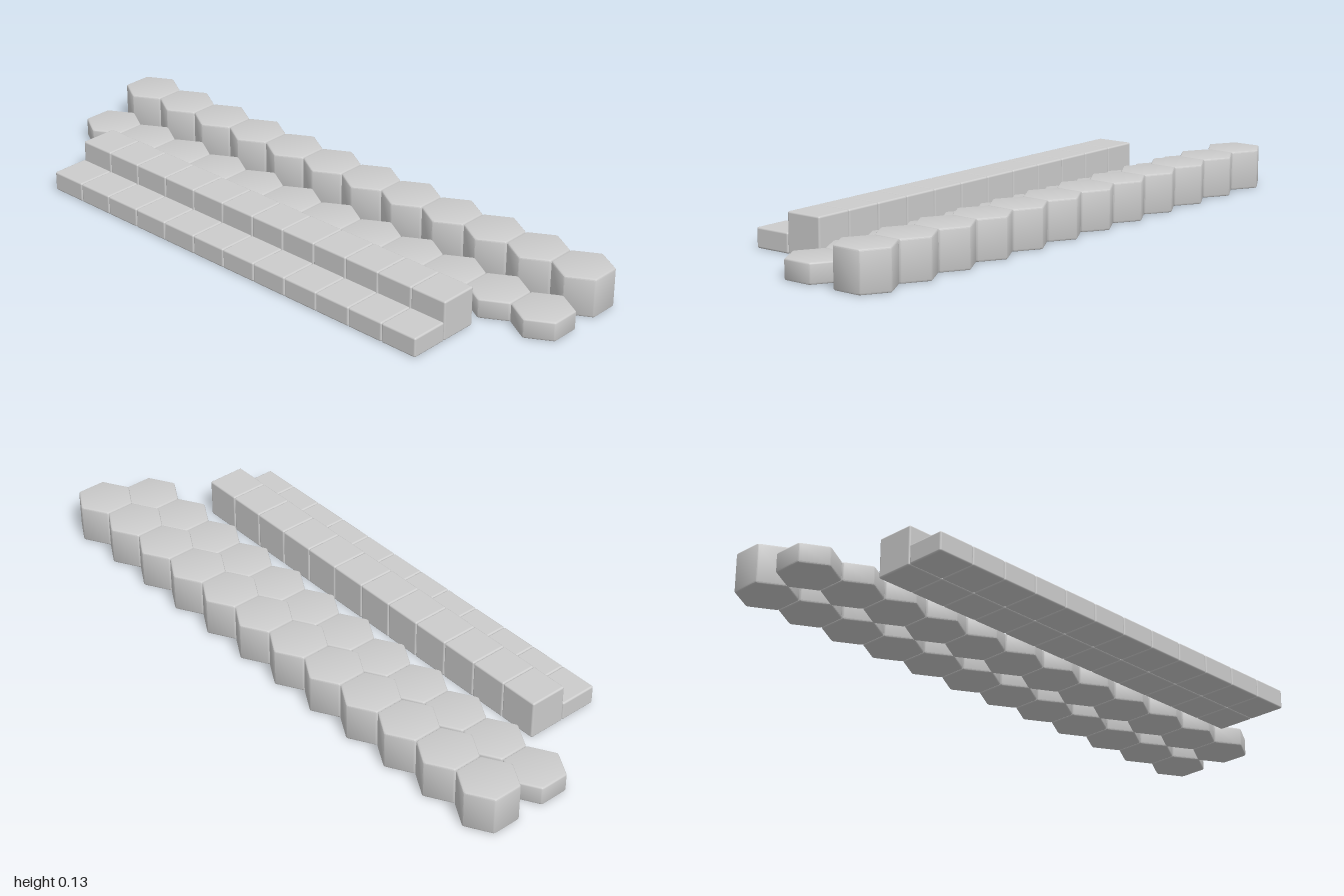
import * as THREE from 'three';
import { RoundedBoxGeometry } from 'three/addons/geometries/RoundedBoxGeometry.js';
import { toCreasedNormals } from 'three/addons/utils/BufferGeometryUtils.js';

const BEVEL = 0.006;
const LOW = 0.064;
const HIGH = 0.129;
const COUNT = 12;

// Hexagonal prism with points along z, softened on every edge, standing on y = 0
function hexGeometry(height) {
  const radius = 0.0955;
  const corners = [];
  for (let i = 0; i < 6; i++) {
    const a = Math.PI / 2 + (i * Math.PI) / 3;
    corners.push(new THREE.Vector2(Math.cos(a) * radius, Math.sin(a) * radius));
  }
  const t = BEVEL / radius;
  const points = [];
  corners.forEach((corner, i) => {
    const start = corner.clone().lerp(corners[(i + 5) % 6], t);
    const end = corner.clone().lerp(corners[(i + 1) % 6], t);
    points.push(...new THREE.QuadraticBezierCurve(start, corner, end).getPoints(3));
  });
  const geometry = new THREE.ExtrudeGeometry(new THREE.Shape(points), {
    depth: height - 2 * BEVEL,
    bevelEnabled: true,
    bevelSize: BEVEL,
    bevelThickness: BEVEL,
    bevelOffset: -BEVEL,
    bevelSegments: 3,
  });
  geometry.translate(0, 0, BEVEL);
  geometry.rotateX(-Math.PI / 2);
  return toCreasedNormals(geometry, 0.6);
}

// Square block with soft edges, standing on y = 0
function blockGeometry(height) {
  const geometry = new RoundedBoxGeometry(0.1275, height, 0.1275, 3, BEVEL);
  geometry.translate(0, height / 2, 0);
  return geometry;
}

export function createModel() {
  const model = new THREE.Group();
  model.name = 'tileSet';
  const stone = new THREE.MeshStandardMaterial({ color: 0xcccccc });
  stone.name = 'light grey';

  // One straight row of equal tiles along x
  const addRow = (name, geometry, pitch, centerX, z) => {
    const row = new THREE.Group();
    row.name = name + 'Row';
    for (let i = 0; i < COUNT; i++) {
      const tile = new THREE.Mesh(geometry, stone);
      tile.name = name;
      tile.position.set(centerX + (i - (COUNT - 1) / 2) * pitch, 0, z);
      row.add(tile);
    }
    model.add(row);
  };

  // Hexagon rows at the back, square rows at the front
  addRow('tallHexTile', hexGeometry(HIGH), 0.1668, 0, -0.2415);
  addRow('lowHexTile', hexGeometry(LOW), 0.1668, 0, -0.055);
  addRow('tallSquareTile', blockGeometry(HIGH), 0.128, -0.003, 0.144);
  addRow('lowSquareTile', blockGeometry(LOW), 0.128, -0.003, 0.272);

  return model;
}
